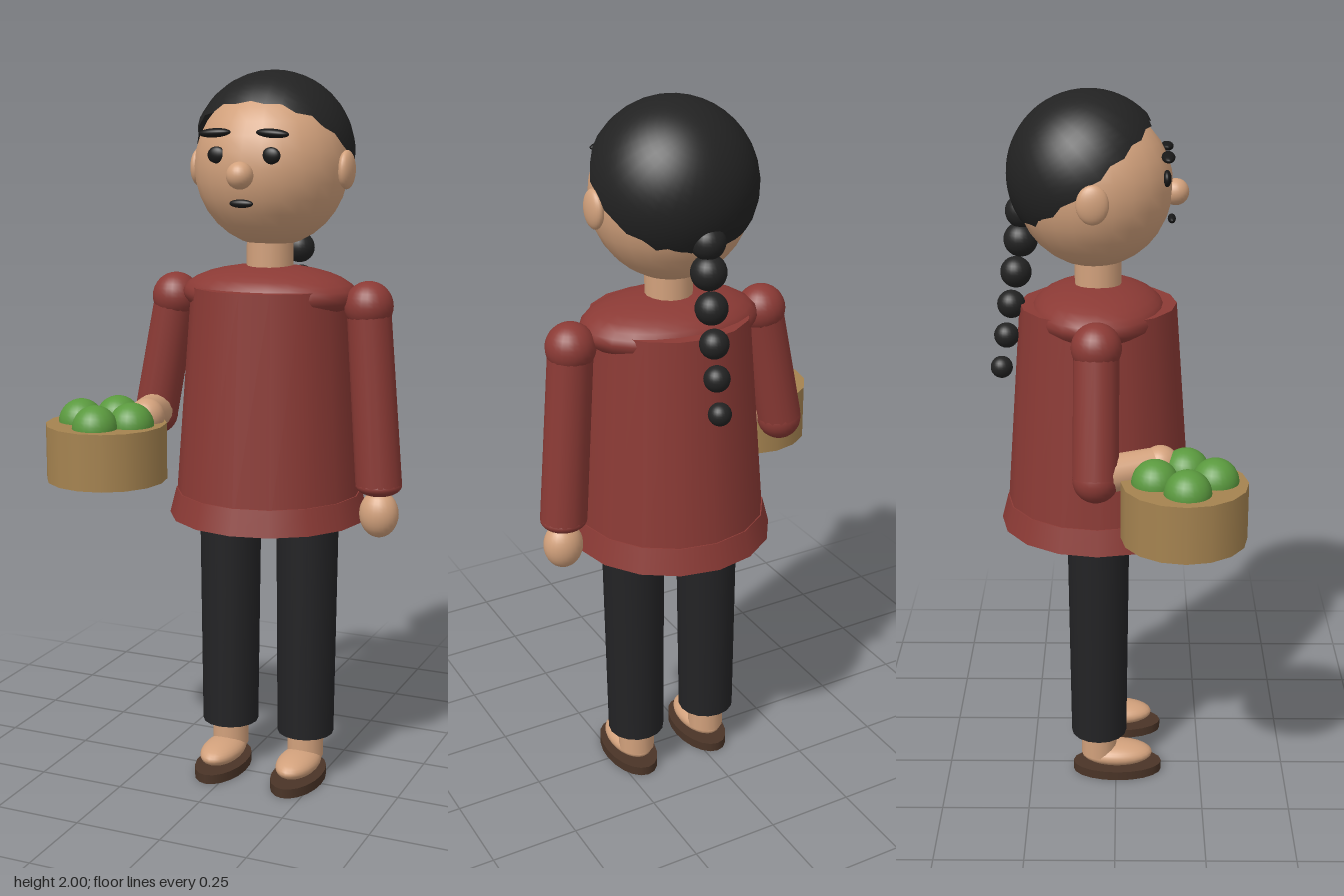
import * as THREE from 'three';

const CX = 0.083, CZ = -0.05; // body axis

const mat = (name, color) => {
  const m = new THREE.MeshStandardMaterial({ color });
  m.name = name;
  return m;
};

export function createModel() {
  const root = new THREE.Group();
  root.name = 'figure';

  const skin = mat('skin', 0xd2a17c);
  const red = mat('redCloth', 0x8b3a35);
  const hair = mat('blackHair', 0x222222);
  hair.side = THREE.DoubleSide;
  const trouser = mat('darkTrousers', 0x232325);
  const dark = mat('faceInk', 0x181818);
  const green = mat('greenFruit', 0x5a993e);
  const straw = mat('straw', 0xa58350);
  const leather = mat('soleLeather', 0x4a3427);

  const add = (name, geo, material, x, y, z, parent = root) => {
    const m = new THREE.Mesh(geo, material);
    m.name = name;
    m.position.set(x, y, z);
    parent.add(m);
    return m;
  };
  const ball = (name, material, x, y, z, rx, ry = rx, rz = rx) => {
    const m = add(name, new THREE.SphereGeometry(1, 24, 16), material, x, y, z);
    m.scale.set(rx, ry, rz);
    return m;
  };
  // Tapered limb between two points
  const limb = (name, material, a, b, ra, rb) => {
    const p = new THREE.Vector3(...a), q = new THREE.Vector3(...b);
    const dir = q.clone().sub(p);
    const m = add(name, new THREE.CylinderGeometry(rb, ra, dir.length(), 16), material, 0, 0, 0);
    m.position.copy(p).add(q).multiplyScalar(0.5);
    m.quaternion.setFromUnitVectors(new THREE.Vector3(0, 1, 0), dir.normalize());
    return m;
  };

  // Head and swept-back hair
  ball('head', skin, CX, 1.745, -0.06, 0.21, 0.218, 0.213);
  const capGeo = new THREE.SphereGeometry(0.222, 32, 16, 0, Math.PI * 2, 0, Math.PI / 2);
  // Uneven hairline: pull the rim up and inwards by a rule
  const p = capGeo.attributes.position;
  for (let i = 0; i < p.count; i++) {
    if (p.getY(i) > 0.005) continue;
    const a = Math.atan2(p.getZ(i), p.getX(i));
    const k = 0.97 + 0.01 * Math.sin(a * 11);
    p.setXYZ(i, p.getX(i) * k, 0.006 * Math.sin(a * 16 + 1), p.getZ(i) * k);
  }
  add('hairCap', capGeo, hair, CX, 1.778, -0.074).rotation.x = -0.69;

  // Braid
  [[1.675, -0.255, 0.046], [1.597, -0.26, 0.047], [1.506, -0.275, 0.043],
    [1.415, -0.29, 0.039], [1.325, -0.305, 0.035], [1.232, -0.321, 0.031]]
    .forEach(([y, z, r], i) => ball(`braidKnot${i + 1}`, hair, CX, y, z, r));

  // Face
  for (const s of [-1, 1]) {
    const side = s > 0 ? 'left' : 'right';
    ball(`${side}Ear`, skin, CX + s * 0.216, 1.738, -0.06, 0.021, 0.052, 0.043);
    ball(`${side}Eye`, dark, CX + s * 0.077, 1.779, 0.134, 0.026, 0.022, 0.012);
    ball(`${side}Brow`, dark, CX + s * 0.082, 1.836, 0.137, 0.046, 0.012, 0.018).rotation.z = s * -0.06;
  }
  ball('nose', skin, CX, 1.728, 0.16, 0.036);
  ball('mouth', dark, CX, 1.655, 0.15, 0.034, 0.011, 0.011);
  add('neck', new THREE.CylinderGeometry(0.064, 0.064, 0.14, 16), skin, CX, 1.49, CZ);

  // Tunic with shoulder yoke and flared hem
  add('tunic', new THREE.CylinderGeometry(0.217, 0.263, 0.63, 16), red, CX, 1.105, CZ);
  ball('shoulderYoke', red, CX, 1.4, CZ, 0.25, 0.08, 0.185);
  add('hem', new THREE.CylinderGeometry(0.262, 0.28, 0.072, 16), red, CX, 0.811, CZ);

  // Legs, feet and sandals
  for (const s of [-1, 1]) {
    const side = s > 0 ? 'left' : 'right';
    const x = CX + s * 0.118;
    add(`${side}TrouserLeg`, new THREE.CylinderGeometry(0.088, 0.081, 0.67, 16), trouser, x, 0.47, CZ);
    add(`${side}Ankle`, new THREE.CylinderGeometry(0.052, 0.052, 0.1, 16), skin, x, 0.11, CZ);
    ball(`${side}Foot`, skin, x, 0.057, 0.003, 0.058, 0.034, 0.105);
    add(`${side}Sole`, new THREE.CylinderGeometry(1, 1, 0.027, 20), leather, x, 0.0135, 0.004).scale.set(0.07, 1, 0.131);
  }

  // Left arm hanging down
  ball('leftShoulder', red, 0.371, 1.378, -0.05, 0.067);
  limb('leftSleeve', red, [0.371, 1.378, -0.05], [0.409, 0.885, -0.05], 0.06, 0.064);
  ball('leftCuff', red, 0.409, 0.885, -0.05, 0.064, 0.03, 0.064);
  ball('leftHand', skin, 0.412, 0.805, -0.047, 0.055, 0.066, 0.05);

  // Right arm bent forward to hold the basket
  ball('rightShoulder', red, -0.203, 1.378, -0.05, 0.067);
  limb('rightSleeve', red, [-0.203, 1.378, -0.05], [-0.27, 1.04, -0.052], 0.06, 0.062);
  ball('rightElbow', red, -0.27, 1.035, -0.052, 0.062);
  limb('rightForearm', skin, [-0.265, 1.045, -0.04], [-0.225, 1.06, 0.1], 0.052, 0.047);
  ball('rightHand', skin, -0.215, 1.06, 0.12, 0.05);

  // Basket of round fruit
  add('basket', new THREE.CylinderGeometry(0.168, 0.168, 0.158, 16), straw, -0.31, 0.966, 0.182);
  [[-0.313, 0.104], [-0.385, 0.187], [-0.229, 0.188], [-0.302, 0.262]]
    .forEach(([x, z], i) => ball(`fruit${i + 1}`, green, x, 1.045, z, 0.063));

  return root;
}
